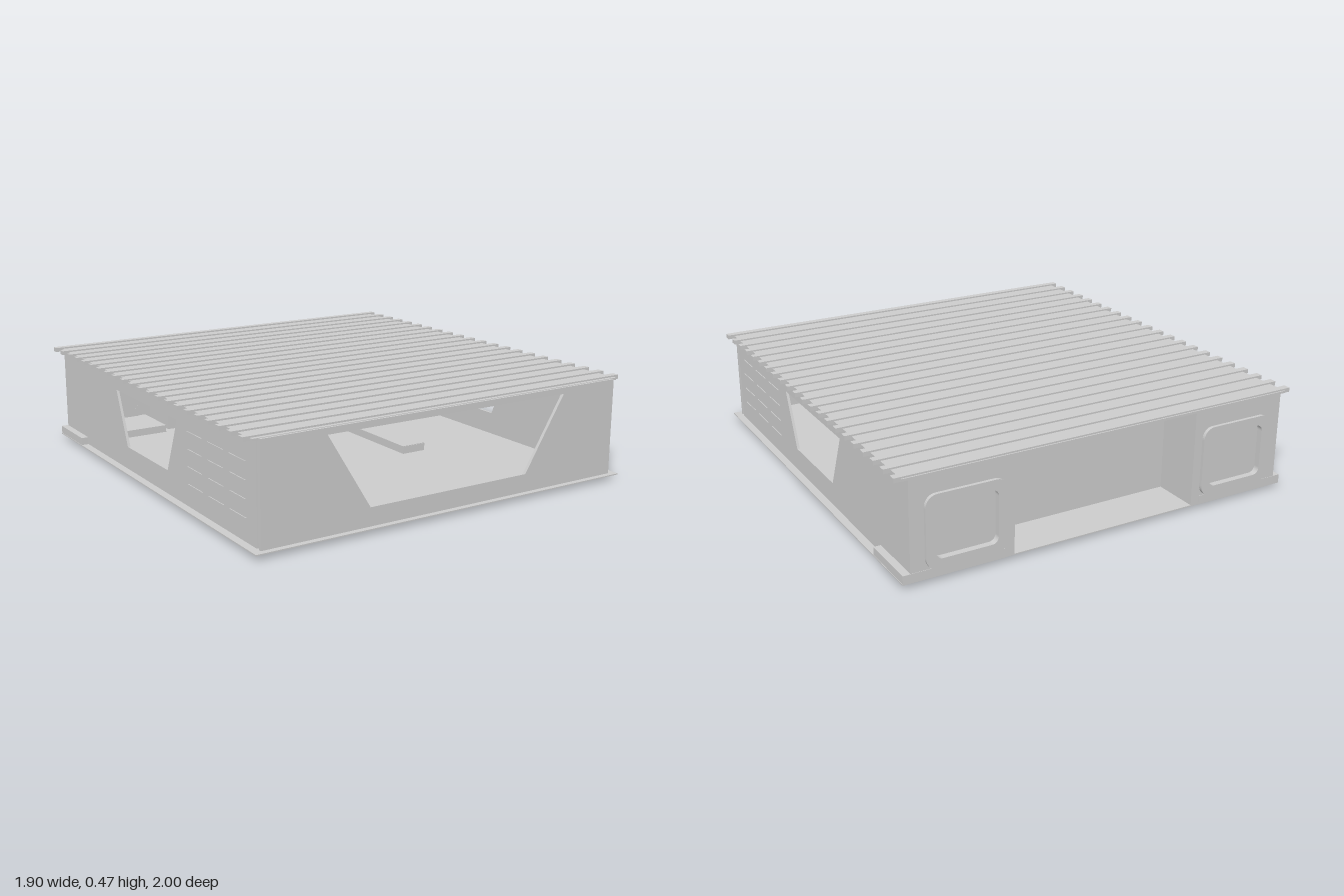
import * as THREE from 'three';

const grey = new THREE.MeshStandardMaterial({ color: 0xcccccc, side: THREE.DoubleSide });
const teal = new THREE.MeshStandardMaterial({ color: 0x0f7590 });

export function createModel() {
  const root = new THREE.Group();

  const add = (name, geo, mat = grey) => {
    const mesh = new THREE.Mesh(geo, mat);
    mesh.name = name;
    root.add(mesh);
    return mesh;
  };
  // Box given by its limits on each axis
  const box = (name, x0, x1, y0, y1, z0, z1, mat) =>
    add(name, new THREE.BoxGeometry(x1 - x0, y1 - y0, z1 - z0)
      .translate((x0 + x1) / 2, (y0 + y1) / 2, (z0 + z1) / 2), mat);
  // The same box on both sides
  const pair = (name, x0, x1, ...rest) => {
    box(name + 'Left', x0, x1, ...rest);
    box(name + 'Right', -x1, -x0, ...rest);
  };
  const poly = (pts, Type = THREE.Shape) => new Type(pts.map(p => new THREE.Vector2(...p)));
  const rect = (x0, x1, y0, y1, Type) => poly([[x0, y0], [x1, y0], [x1, y1], [x0, y1]], Type);
  const rounded = (x0, x1, y0, y1, r, Type = THREE.Shape) => {
    const s = new Type();
    s.absarc(x1 - r, y1 - r, r, 0, Math.PI / 2);
    s.absarc(x0 + r, y1 - r, r, Math.PI / 2, Math.PI);
    s.absarc(x0 + r, y0 + r, r, Math.PI, Math.PI * 1.5);
    s.absarc(x1 - r, y0 + r, r, Math.PI * 1.5, Math.PI * 2);
    s.closePath();
    return s;
  };
  const extrude = (shape, depth, holes = []) => {
    shape.holes.push(...holes);
    return new THREE.ExtrudeGeometry(shape, { depth, bevelEnabled: false, curveSegments: 5 });
  };

  // Floor with two long slots
  const slots = [1, -1].map(s => rect(s * 0.36 - 0.055, s * 0.36 + 0.055, -0.67, 0.23, THREE.Path));
  add('floor', extrude(rect(-0.93, 0.93, -0.985, 1.0), 0.005, slots)
    .rotateX(Math.PI / 2).translate(0, 0.025, 0));

  // Slot channels and the posts that pass through them
  pair('channelOuterWall', 0.415, 0.422, 0.022, 0.06, -0.675, 0.235);
  pair('channelInnerWall', 0.298, 0.305, 0.022, 0.06, -0.675, 0.235);
  pair('channelTop', 0.298, 0.422, 0.055, 0.062, -0.675, 0.235);
  pair('channelBackEnd', 0.298, 0.422, 0.022, 0.06, -0.677, -0.67);
  pair('channelFrontEnd', 0.298, 0.422, 0.022, 0.06, 0.23, 0.237);
  pair('post', 0.34, 0.38, 0, 0.45, -0.235, -0.125);

  // Front wall with a wide tapered opening
  add('frontWall', extrude(rect(-0.895, 0.895, 0.022, 0.458), 0.015,
    [poly([[-0.4, 0.105], [0.4, 0.105], [0.6, 0.43], [-0.6, 0.43]], THREE.Path)])
    .translate(0, 0, 0.96));

  // Side walls with tapered windows
  for (const s of [1, -1]) {
    const wall = extrude(rect(-0.98, 0.945, 0.022, 0.452), 0.012,
      [poly([[-0.235, 0.13], [0.18, 0.13], [0.285, 0.375], [-0.34, 0.375]], THREE.Path)]);
    add(s > 0 ? 'sideWallLeft' : 'sideWallRight',
      wall.rotateY(-Math.PI / 2).translate(s > 0 ? 0.895 : -0.883, 0, 0));
  }

  // Thin vent fins near the front of each side
  for (let col = 0; col < 3; col++)
    for (let row = 0; row < 4; row++) {
      const z = 0.38 + col * 0.18, y = 0.12 + row * 0.075;
      pair('ventFin', 0.894, 0.899, y, y + 0.004, z, z + 0.13);
    }

  // Ribbed roof
  box('roofSheet', -0.92, 0.92, 0.45, 0.46, -0.985, 0.965);
  for (let i = 0; i < 22; i++) {
    const z = -0.963 + i * 0.0902;
    box('roofRib', -0.95, 0.95, 0.448, 0.467, z - 0.016, z + 0.016);
  }

  // Back corners: wall, rounded frame, inset plate and ledge
  for (const s of [1, -1]) {
    const c = s * 0.655, side = s > 0 ? 'Left' : 'Right';
    const edge = s * 0.6675;
    add('backWall' + side, extrude(rect(edge - 0.2275, edge + 0.2275, 0.022, 0.452), 0.012,
      [rounded(c - 0.17, c + 0.17, 0.065, 0.37, 0.045, THREE.Path)]).translate(0, 0, -0.985));
    add('hatchFrame' + side, extrude(rounded(c - 0.178, c + 0.178, 0.06, 0.375, 0.05), 0.035,
      [rounded(c - 0.137, c + 0.137, 0.1, 0.333, 0.03, THREE.Path)]).translate(0, 0, -1));
    add('hatchPlate' + side, extrude(rounded(c - 0.14, c + 0.14, 0.097, 0.336, 0.03), 0.006)
      .translate(0, 0, -0.972));
  }
  pair('ledge', 0.48, 0.928, 0.02, 0.06, -0.987, -0.72);

  // Recess in the middle of the back
  pair('recessSide', 0.438, 0.45, 0.022, 0.45, -0.985, -0.76);
  box('recessPanel', -0.45, 0.45, 0.022, 0.45, -0.772, -0.76);

  // Equipment inside
  add('screen', extrude(rounded(-0.25, 0.28, 0.2, 0.39, 0.025), 0.03).translate(0, 0, -0.5), teal);
  box('equipmentBack', -0.33, 0.33, 0.025, 0.43, -0.53, -0.5);
  for (const [x0, x1] of [[-0.32, -0.215], [-0.155, -0.015], [0.03, 0.17]])
    box('module', x0, x1, 0.12, 0.17, -0.5, -0.46, teal);
  box('equipmentBase', -0.33, 0.33, 0.025, 0.11, -0.5, -0.38);
  box('controlBox', 0.23, 0.305, 0.14, 0.22, -0.5, -0.4);
  box('controlBoxBase', 0.18, 0.335, 0.105, 0.14, -0.5, -0.38);
  add('topBar', extrude(rounded(-0.285, 0.285, 0.405, 0.43, 0.012), 0.12).translate(0, 0, -0.5));

  // Cables
  const cable = (pts, tension) => add('cable', new THREE.TubeGeometry(
    new THREE.CatmullRomCurve3(pts.map(p => new THREE.Vector3(...p)), false, 'catmullrom', tension),
    24, 0.012, 8));
  cable([[-0.2, 0.1, -0.38], [-0.2, 0.2, -0.27], [-0.15, 0.3, -0.31], [-0.13, 0.32, -0.4]], 0.5);
  cable([[-0.1, 0.1, -0.38], [-0.1, 0.2, -0.26], [-0.14, 0.28, -0.31], [-0.17, 0.3, -0.4]], 0.5);
  cable([[-0.165, 0.41, -0.42], [-0.165, 0.34, -0.4], [-0.125, 0.28, -0.38], [-0.15, 0.22, -0.4]], 0.1);
  cable([[0.01, 0.41, -0.42], [0.01, 0.33, -0.4], [-0.01, 0.3, -0.4], [0.02, 0.25, -0.4], [-0.01, 0.21, -0.42]], 0.1);

  return root;
}
